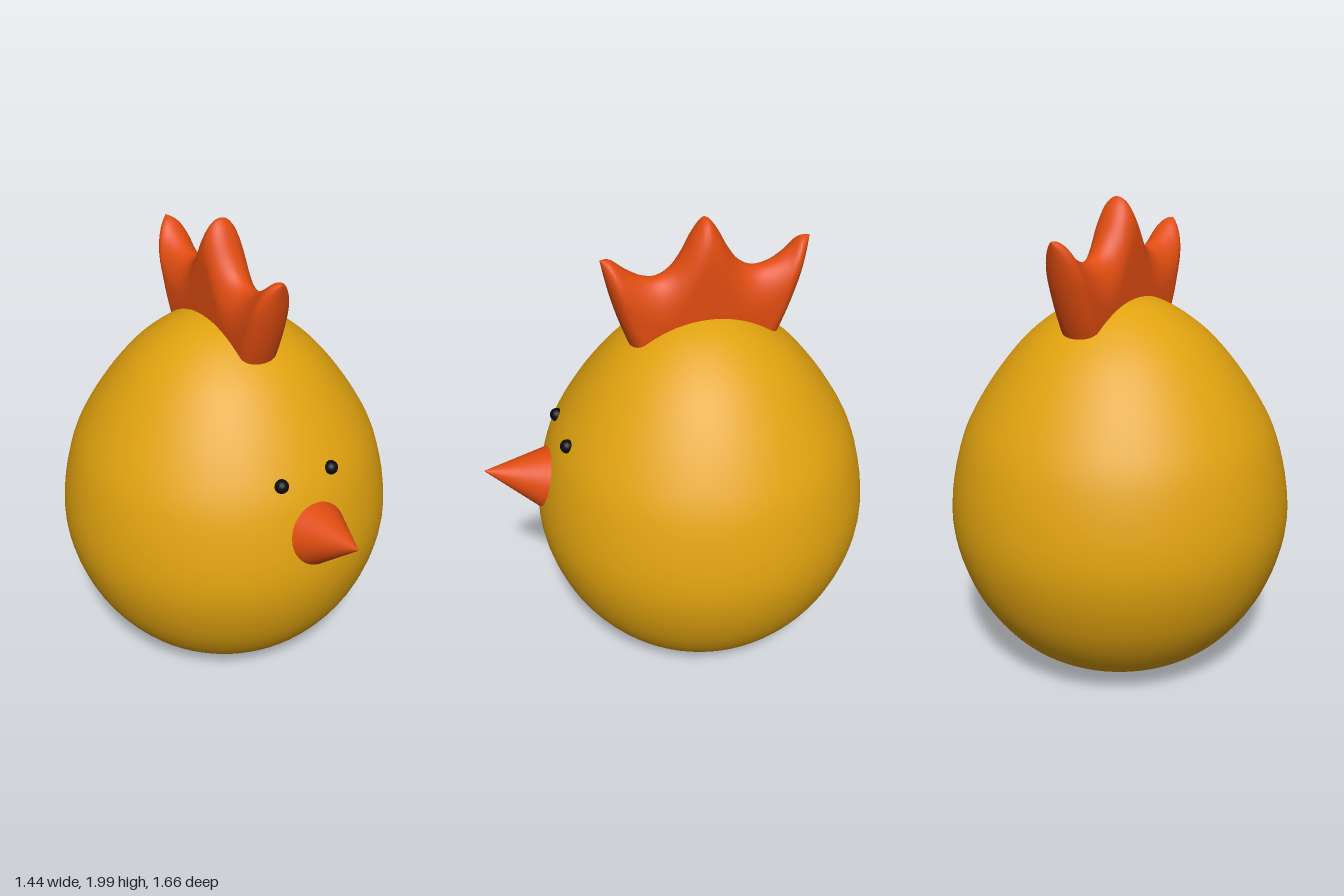
import * as THREE from 'three';
import { mergeVertices } from 'three/addons/utils/BufferGeometryUtils.js';

const yellow = new THREE.MeshStandardMaterial({ name: 'yellow', color: 0xe0a20f });
const orange = new THREE.MeshStandardMaterial({ name: 'orange', color: 0xe04c10 });
const black = new THREE.MeshStandardMaterial({ name: 'black', color: 0x0a0a0a });

const BODY_Z = -0.11;

function spline(points) {
  return new THREE.CatmullRomCurve3(points.map(([a, b]) => new THREE.Vector3(a, b, 0)));
}

function addMesh(group, name, geometry, material) {
  const mesh = new THREE.Mesh(geometry, material);
  mesh.name = name;
  group.add(mesh);
  return mesh;
}

// Egg-shaped body: [radius, height] profile
function bodyGeometry() {
  const profile = spline([
    [0, 0.008], [0.14, 0.013], [0.28, 0.038], [0.41, 0.095], [0.53, 0.2], [0.655, 0.4],
    [0.72, 0.67], [0.665, 1.0], [0.565, 1.2], [0.415, 1.4], [0.31, 1.495],
    [0.2, 1.565], [0.1, 1.6], [0, 1.61],
  ]).getPoints(72).map((p) => new THREE.Vector2(Math.max(p.x, 0), p.y));
  return new THREE.LatheGeometry(profile, 72);
}

// 0 at an edge, rising along a quarter circle to 1 at distance r
function rounded(d, r) {
  const k = 1 - Math.min(d / r, 1);
  return Math.sqrt(Math.max(0, 1 - k * k));
}

// Three-pointed comb: a sheet folded over a wavy crest, thickness rounded at the rims
function combGeometry() {
  const crest = spline([
    [0.3, 1.87], [0.265, 1.868], [0.2, 1.82], [0.14, 1.785], [0.08, 1.775], [0.02, 1.805],
    [-0.03, 1.87], [-0.08, 1.96], [-0.12, 2.0], [-0.16, 1.96], [-0.21, 1.87], [-0.26, 1.805],
    [-0.32, 1.775], [-0.39, 1.785], [-0.46, 1.825], [-0.515, 1.875], [-0.553, 1.88],
  ]);
  const geometry = new THREE.PlaneGeometry(2, 2, 80, 40);
  const pos = geometry.attributes.position;
  for (let i = 0; i < pos.count; i++) {
    const w = Math.sin(pos.getX(i) * Math.PI / 2); // front -1, back 1
    const s = -pos.getY(i);                        // right foot -1, crest 0, left foot 1
    const v = 1 - s * s;
    const t = THREE.MathUtils.clamp((w + 1) / 2, 0, 1);
    const top = crest.getPoint(t);
    const footZ = THREE.MathUtils.lerp(0.165, -0.4, t);
    const bulge = -0.015 * w * Math.sin(v * Math.PI);
    const y = THREE.MathUtils.lerp(1.42, top.y, v);
    const half = 0.088 * rounded((1 - Math.abs(w)) * 0.43, 0.09)
      * rounded(top.y - y, 0.17) * (0.78 + 0.22 * rounded(y - 1.42, 0.2));
    pos.setXYZ(i, Math.sign(s) * half, y, THREE.MathUtils.lerp(footZ, top.x, v) + bulge);
  }
  geometry.deleteAttribute('uv');
  geometry.deleteAttribute('normal');
  const welded = mergeVertices(geometry, 1e-5);
  welded.computeVertexNormals();
  return welded;
}

export function createModel() {
  const model = new THREE.Group();
  model.name = 'chicken';

  addMesh(model, 'body', bodyGeometry(), yellow).position.z = BODY_Z;
  addMesh(model, 'comb', combGeometry(), orange);

  // Beak: cone pointing forward and slightly up
  const tip = new THREE.Vector3(0, 0.976, 0.83);
  const base = new THREE.Vector3(0, 0.902, 0.585);
  const axis = tip.clone().sub(base);
  const beak = addMesh(model, 'beak', new THREE.ConeGeometry(0.13, axis.length(), 48), orange);
  beak.position.copy(base).add(tip).multiplyScalar(0.5);
  beak.quaternion.setFromUnitVectors(new THREE.Vector3(0, 1, 0), axis.normalize());

  // Eyes
  for (const side of [-1, 1]) {
    const eye = addMesh(model, side > 0 ? 'leftEye' : 'rightEye',
      new THREE.SphereGeometry(0.029, 20, 14), black);
    eye.position.set(side * 0.121, 1.122, 0.491);
  }
  return model;
}
